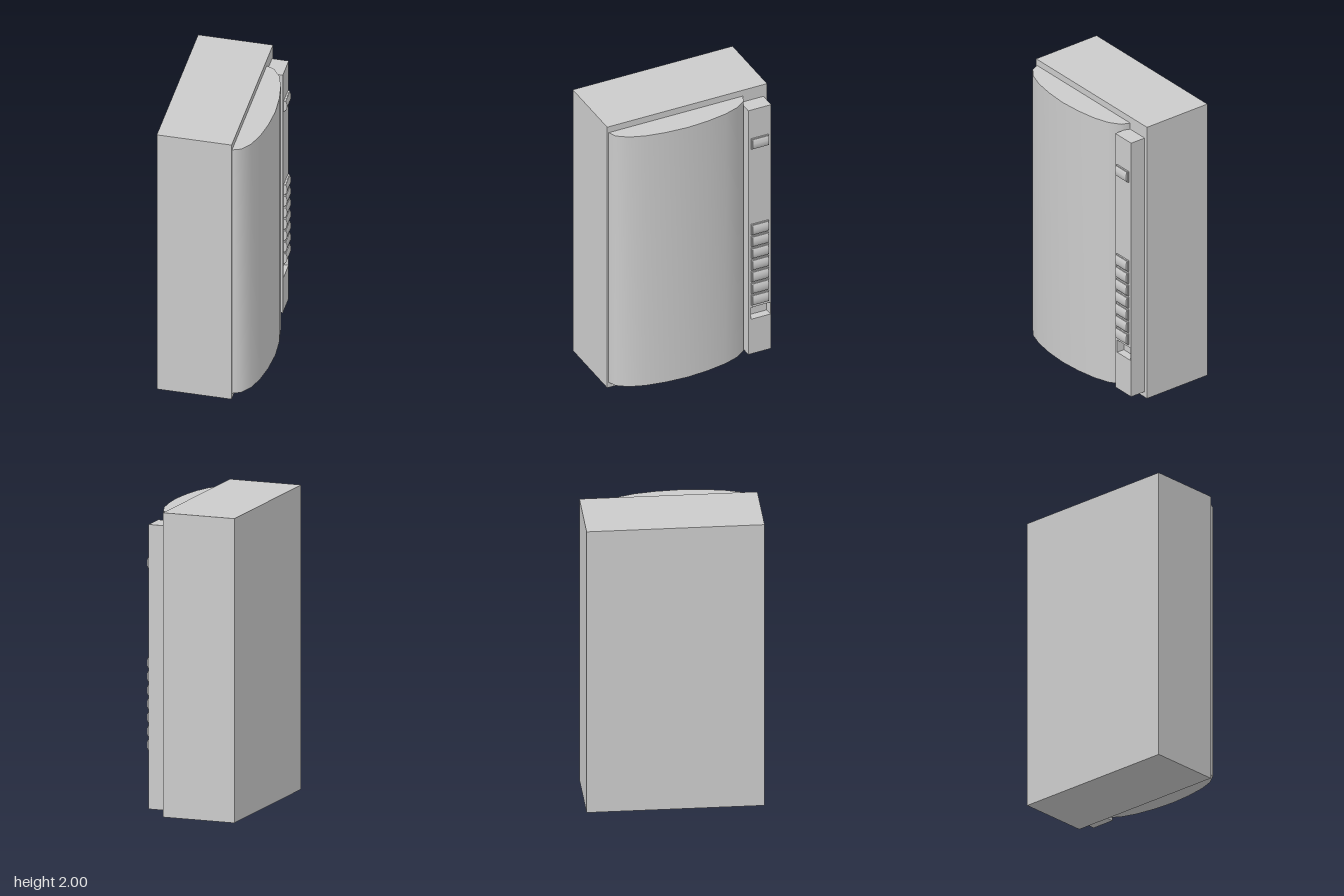
import * as THREE from 'three';
import { toCreasedNormals } from 'three/addons/utils/BufferGeometryUtils.js';

const material = new THREE.MeshStandardMaterial({ color: 0xcccccc });

function addMesh(parent, name, geometry) {
  const mesh = new THREE.Mesh(geometry, material);
  mesh.name = name;
  parent.add(mesh);
  return mesh;
}

// Box given by its lower and upper corners
function box([x0, y0, z0], [x1, y1, z1]) {
  return new THREE.BoxGeometry(x1 - x0, y1 - y0, z1 - z0)
    .translate((x0 + x1) / 2, (y0 + y1) / 2, (z0 + z1) / 2);
}

// Straight extrusion of a list of [x, y] points along z
function prism(points, depth) {
  const shape = new THREE.Shape(points.map(([x, y]) => new THREE.Vector2(x, y)));
  return new THREE.ExtrudeGeometry(shape, { depth, bevelEnabled: false });
}

// Push button: thin plate with a bowed cap
function createButton(y) {
  const button = new THREE.Group();
  button.name = 'button';
  addMesh(button, 'buttonPlate', box([0.265, y - 0.039, -0.529], [0.28, y + 0.039, -0.403]));
  const arc = [[0.275, -0.036]];
  for (let i = 0; i <= 8; i++) {
    const t = i / 4 - 1;
    arc.push([0.293 - 0.009 * t * t, t * 0.036]);
  }
  arc.push([0.275, 0.036]);
  const cap = toCreasedNormals(prism(arc, 0.114).translate(0, y, -0.523), 0.6);
  addMesh(button, 'buttonCap', cap);
  return button;
}

export function createModel() {
  const model = new THREE.Group();
  model.name = 'vendingMachine';

  addMesh(model, 'cabinet', box([-0.335, 0, -0.575], [0.16, 2, 0.575]));

  // Bowed door, its [x, z] outline raised along y
  const half = [[0.155, 0.483], [0.16, 0.483], [0.215, 0.46], [0.265, 0.39], [0.3, 0.287], [0.323, 0.152]];
  const outline = [
    ...half.map(([x, z]) => [x, 0.082 - z]),
    [0.333, 0.082],
    ...half.map(([x, z]) => [x, 0.082 + z]).reverse(),
  ];
  const door = prism(outline, 1.915).rotateX(Math.PI / 2).translate(0, 1.955, 0);
  addMesh(model, 'bowedDoor', toCreasedNormals(door, 0.7));

  // Control panel with a coin return recess cut into its front
  const panel = new THREE.Group();
  panel.name = 'controlPanel';
  const section = [
    [0.155, 0.04], [0.27, 0.04], [0.27, 0.305], [0.215, 0.305],
    [0.215, 0.355], [0.27, 0.395], [0.27, 1.91], [0.155, 1.91],
  ];
  addMesh(panel, 'panelCore', prism(section, 0.14).translate(0, 0, -0.545));
  addMesh(panel, 'panelOuterEdge', box([0.155, 0.04, -0.55], [0.27, 1.91, -0.545]));
  addMesh(panel, 'panelInnerEdge', box([0.155, 0.04, -0.405], [0.27, 1.91, -0.385]));
  model.add(panel);

  // One upper button and a column of seven selection buttons
  panel.add(createButton(1.652));
  for (let i = 0; i < 7; i++) panel.add(createButton(0.455 + i * 0.09));

  return model;
}
